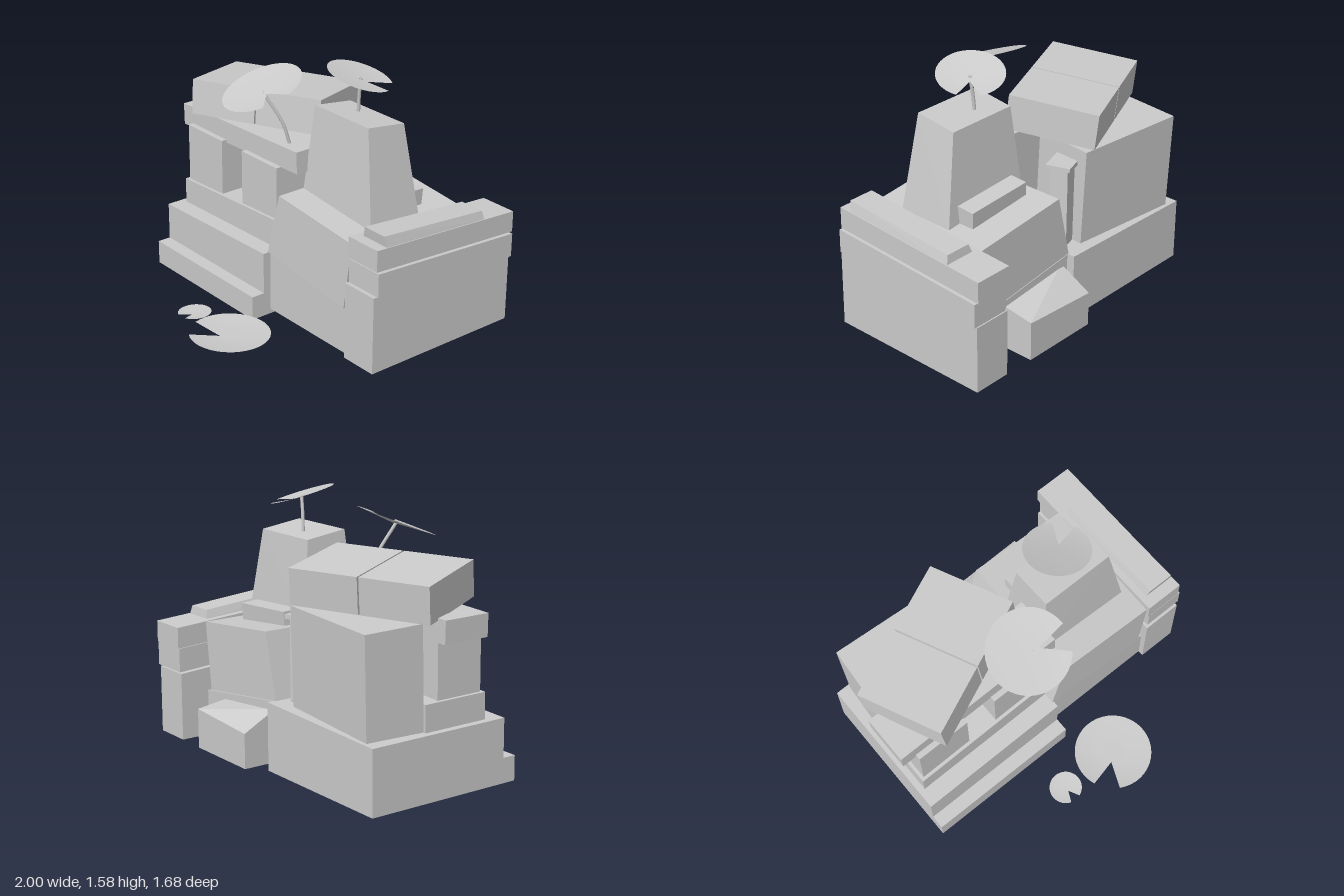
import * as THREE from 'three';
import { ConvexGeometry } from 'three/addons/geometries/ConvexGeometry.js';

const stone = new THREE.MeshStandardMaterial({ color: 0xcccccc, flatShading: true });
const leaf = new THREE.MeshStandardMaterial({ color: 0xcccccc, side: THREE.DoubleSide });

export function createModel() {
  const model = new THREE.Group();
  model.name = 'stoneRuin';

  function add(name, geometry, material = stone) {
    const mesh = new THREE.Mesh(geometry, material);
    mesh.name = name;
    model.add(mesh);
    return mesh;
  }

  // Six-sided stone from two rectangles [x0, x1, z0, z1].
  // Heights are one number or [backLeft, backRight, frontRight, frontLeft] seen from the front.
  function hewn(name, base, y0, top, y1) {
    const ring = ([x0, x1, z0, z1], y) => {
      const h = Array.isArray(y) ? y : [y, y, y, y];
      return [[x0, z0], [x1, z0], [x1, z1], [x0, z1]].map(([x, z], i) => new THREE.Vector3(x, h[i], z));
    };
    return add(name, new ConvexGeometry([...ring(base, y0), ...ring(top, y1)]));
  }

  // Plain block, yawed first and then tilted.
  function block(name, size, pos, tiltX = 0, yaw = 0, tiltZ = 0) {
    const mesh = add(name, new THREE.BoxGeometry(...size));
    mesh.position.set(...pos);
    mesh.rotation.set(tiltX, yaw, tiltZ, 'ZXY');
    return mesh;
  }

  // Stepped base on the right-hand side
  const step1 = [-0.96, 0.02, -0.69, 0.32];
  hewn('lowerStep', step1, 0, step1, 0.15);
  const step2 = [-0.96, 0.02, -0.69, 0.235];
  hewn('middleStep', step2, 0.14, step2, [0.385, 0.41, 0.41, 0.385]);
  const step3 = [-0.92, 0.01, -0.3, 0.125];
  hewn('upperStep', step3, 0.37, step3, [0.545, 0.585, 0.585, 0.545]);

  // Doorway: two pillars and a tilted lintel
  for (const [x0, x1] of [[-0.9, -0.555], [-0.355, -0.02]]) {
    const foot = [x0, x1, -0.2, 0.105];
    hewn('doorPillar', foot, 0.54, foot, 0.91);
  }
  block('lintel', [1.12, 0.135, 0.3], [-0.435, 0.963, -0.08], 0, 0, 0.028);

  // Large stone and small capped post behind the doorway
  block('rearStone', [0.75, 0.61, 0.37], [-0.52, 0.69, -0.465], -0.03, -0.07, 0.015);
  block('rearPost', [0.15, 0.52, 0.11], [-0.1, 0.64, -0.5], 0, 0.3, 0);
  block('rearPostCap', [0.19, 0.025, 0.15], [-0.1, 0.908, -0.5], 0, 0.3, 0);

  // Two roof blocks lying askew on top
  const roof = new THREE.Group();
  roof.name = 'roofBlocks';
  roof.position.set(-0.47, 1.135, -0.25);
  roof.rotation.set(-0.085, 0.415, 0.056, 'ZXY');
  for (const side of [-1, 1]) {
    const part = block('roofBlock', [0.428, 0.215, 0.535], [side * 0.219, 0, 0]);
    roof.add(part);
  }
  model.add(roof);

  // Central tower: footing, leaning stone, tapered top
  const footing = [0.02, 0.745, -0.64, 0.185];
  hewn('towerFooting', footing, 0.03, footing, [0.405, 0.31, 0.31, 0.405]);
  hewn('leaningStone', [0.01, 0.7, -0.64, 0.195], [0.41, 0.32, 0.32, 0.41],
    [0.105, 0.75, -0.64, 0.185], [0.8, 0.735, 0.735, 0.8]);
  hewn('towerTop', [0.105, 0.705, -0.36, 0.005], [0.78, 0.72, 0.72, 0.78],
    [0.15, 0.61, -0.31, -0.045], [1.285, 1.285, 1.32, 1.32]);
  block('rearLedge', [0.44, 0.12, 0.13], [0.4, 0.805, -0.395], -0.05, 0, -0.06);
  hewn('rearWedge', [0.05, 0.55, -0.83, -0.6], 0.03,
    [0.05, 0.55, -0.83, -0.62], [0.24, 0.27, 0.3, 0.35]);

  // Side wall in sloping courses: [x0, x1, z0, z1, bottom back/front, top back/front]
  const courses = [
    [0.74, 0.98, -0.825, 0.22, 0.03, 0.03, 0.44, 0.505],
    [0.755, 1.0, -0.825, 0.205, 0.447, 0.512, 0.592, 0.655],
    [0.745, 0.985, -0.838, 0.205, 0.597, 0.66, 0.725, 0.79],
  ];
  for (const [x0, x1, z0, z1, b0, b1, t0, t1] of courses) {
    const plan = [x0, x1, z0, z1];
    hewn('wallCourse', plan, [b0, b0, b1, b1], plan, [t0, t0, t1, t1]);
  }
  hewn('wallCoping', [0.785, 0.98, -0.61, 0.13], [0.735, 0.735, 0.785, 0.785],
    [0.805, 0.965, -0.6, 0.14], [0.79, 0.79, 0.85, 0.85]);

  // Notched round leaf, dished towards the notch's inner point
  function lilyPad(name, r, pos, notch, tiltX, tiltZ, dish) {
    const half = 0.34;
    const geo = new THREE.CircleGeometry(r, 36, notch + half, Math.PI * 2 - 2 * half);
    geo.attributes.position.setXYZ(0, 0.25 * r * Math.cos(notch), 0.25 * r * Math.sin(notch), -dish);
    geo.rotateX(-Math.PI / 2);
    geo.computeVertexNormals();
    const pad = add(name, geo, leaf);
    pad.position.set(...pos);
    pad.rotation.set(tiltX, 0, tiltZ);
  }
  lilyPad('tallPadRight', 0.245, [-0.12, 1.39, 0.13], -0.3, 0.37, 0.1, 0.02);
  lilyPad('tallPadLeft', 0.195, [0.355, 1.52, -0.2], 0.7, -0.2, -0.22, 0.02);
  lilyPad('groundPadLarge', 0.238, [0.17, 0.077, 0.6], -2.44, -0.03, 0, 0.03);
  lilyPad('groundPadSmall', 0.1, [-0.2, 0.052, 0.585], -Math.PI / 2, 0, 0.05, 0.012);
  const bud = add('groundPadCentre', new THREE.ConeGeometry(0.073, 0.02, 28), leaf);
  bud.rotation.x = Math.PI;
  bud.position.set(0.175, 0.056, 0.59);

  // Leaf stems
  function stem(name, points) {
    const curve = new THREE.CatmullRomCurve3(points.map((p) => new THREE.Vector3(...p)));
    add(name, new THREE.TubeGeometry(curve, 10, 0.01, 8), leaf);
  }
  stem('stemRight', [[-0.025, 1.03, 0.0], [-0.04, 1.18, 0.045], [-0.1, 1.37, 0.14]]);
  stem('stemLeft', [[0.335, 1.29, -0.21], [0.345, 1.4, -0.205], [0.362, 1.505, -0.2]]);

  return model;
}
